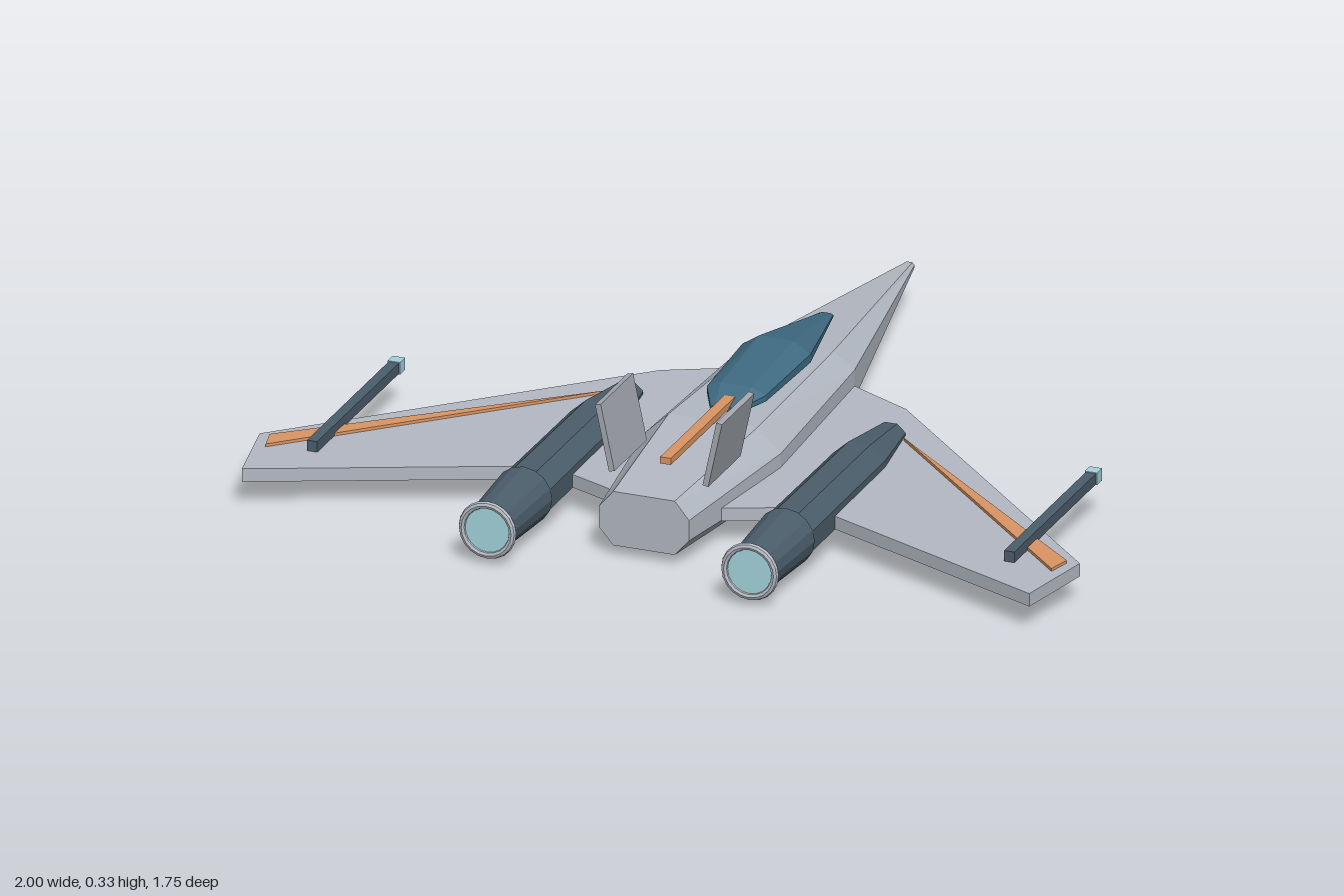
import * as THREE from 'three';

const mat = (color) => new THREE.MeshStandardMaterial({ color, flatShading: true });

// Skin a row of cross-sections; each is { z, pts } with pts counter-clockwise seen from +z.
function loft(sections) {
  const pos = [];
  const put = (s, k) => {
    const p = s.pts[k % s.pts.length];
    pos.push(p[0], p[1], s.z);
  };
  const n = sections[0].pts.length;
  for (let i = 0; i < sections.length - 1; i++) {
    const a = sections[i], b = sections[i + 1];
    for (let k = 0; k < n; k++) {
      put(a, k); put(a, k + 1); put(b, k + 1);
      put(a, k); put(b, k + 1); put(b, k);
    }
  }
  const first = sections[0], last = sections[sections.length - 1];
  for (let k = 1; k < n - 1; k++) {
    put(first, 0); put(first, k + 1); put(first, k);
    put(last, 0); put(last, k); put(last, k + 1);
  }
  const g = new THREE.BufferGeometry();
  g.setAttribute('position', new THREE.Float32BufferAttribute(pos, 3));
  g.computeVertexNormals();
  return g;
}

// Chamfered eight-sided section: half width, half flat, then four heights from bottom to top.
const octagon = (z, w, f, y0, y1, y2, y3) => ({
  z, pts: [[w, y1], [w, y2], [f, y3], [-f, y3], [-w, y2], [-w, y1], [-f, y0], [f, y0]],
});

// Flat plate from an [x, z] outline, with its top face at the given height.
function plate(outline, side, top, thickness) {
  const shape = new THREE.Shape(outline.map(([x, z]) => new THREE.Vector2(x * side, z)));
  const g = new THREE.ExtrudeGeometry(shape, { depth: thickness, bevelEnabled: false });
  return g.rotateX(Math.PI / 2).translate(0, top, 0);
}

export function createModel() {
  const model = new THREE.Group();
  const hull = mat(0xb4bac4), finGrey = mat(0xa4a8b0), steel = mat(0x4c5e6c);
  const glass = mat(0x3f6b82), orange = mat(0xdb9664), glow = mat(0xa4d4de);

  const add = (parent, name, geometry, material, x = 0, y = 0, z = 0) => {
    const m = new THREE.Mesh(geometry, material);
    m.name = name;
    m.position.set(x, y, z);
    parent.add(m);
    return m;
  };

  // Fuselage, from needle nose to blunt tail
  add(model, 'fuselage', loft([
    octagon(-0.88, 0.012, 0.007, 0.088, 0.094, 0.1, 0.106),
    octagon(-0.2, 0.142, 0.09, 0.018, 0.06, 0.13, 0.168),
    octagon(0.3, 0.165, 0.108, 0, 0.053, 0.125, 0.18),
    octagon(0.715, 0.11, 0.075, 0.025, 0.065, 0.115, 0.157),
  ]), hull);

  // Faceted canopy
  add(model, 'canopy', loft([
    octagon(-0.38, 0.017, 0.01, 0.167, 0.17, 0.175, 0.178),
    octagon(-0.08, 0.083, 0.042, 0.165, 0.186, 0.206, 0.233),
    octagon(0.16, 0.072, 0.038, 0.17, 0.183, 0.198, 0.213),
    octagon(0.235, 0.033, 0.02, 0.173, 0.178, 0.184, 0.188),
  ]), glass);

  add(model, 'spineStripe', new THREE.BoxGeometry(0.026, 0.016, 0.385), orange, 0, 0.193, 0.393);

  for (const side of [1, -1]) {
    const label = side > 0 ? 'left' : 'right';

    // Swept wing with a tapering stripe
    add(model, label + 'Wing', plate([
      [0, -0.2], [0.142, -0.2], [0.3, -0.12], [1, 0.56], [0.96, 0.765], [0.32, 0.487], [0.1, 0.58], [0, 0.58],
    ], side, 0.091, 0.032), hull);
    add(model, label + 'WingStripe', plate(
      [[0.365, 0.052], [0.972, 0.57], [0.958, 0.627]], side, 0.098, 0.01), orange);

    // Engine: faceted pod, tapered nozzle, rim and exhaust disc
    const engine = new THREE.Group();
    engine.name = label + 'Engine';
    engine.position.set(side * 0.32, 0.083, 0);
    model.add(engine);
    const pod = (z, r) => octagon(z, r, r * 0.42, -r * 0.9, -r * 0.38, r * 0.38, r * 0.9);
    add(engine, 'pod', loft([pod(0.02, 0.036), pod(0.21, 0.063), pod(0.65, 0.065)]), steel);
    add(engine, 'nozzle', new THREE.CylinderGeometry(0.058, 0.07, 0.215, 16).rotateX(Math.PI / 2),
      steel, 0, 0, 0.757);
    add(engine, 'nozzleRim', new THREE.TorusGeometry(0.061, 0.009, 8, 20), hull, 0, 0, 0.866);
    add(engine, 'exhaust', new THREE.CylinderGeometry(0.056, 0.056, 0.01, 20).rotateX(Math.PI / 2),
      glow, 0, 0, 0.864);

    // Outward-leaning tail fin
    const fin = add(model, label + 'TailFin', new THREE.BoxGeometry(0.014, 0.162, 0.195),
      finGrey, side * 0.131, 0.245, 0.53);
    fin.rotation.z = -side * 0.21;

    // Wing cannon with a bright muzzle
    add(model, label + 'Cannon', new THREE.BoxGeometry(0.025, 0.026, 0.495), steel, side * 0.85, 0.105, 0.367);
    add(model, label + 'Muzzle', new THREE.BoxGeometry(0.03, 0.03, 0.03), glow, side * 0.85, 0.105, 0.109);
  }
  return model;
}
